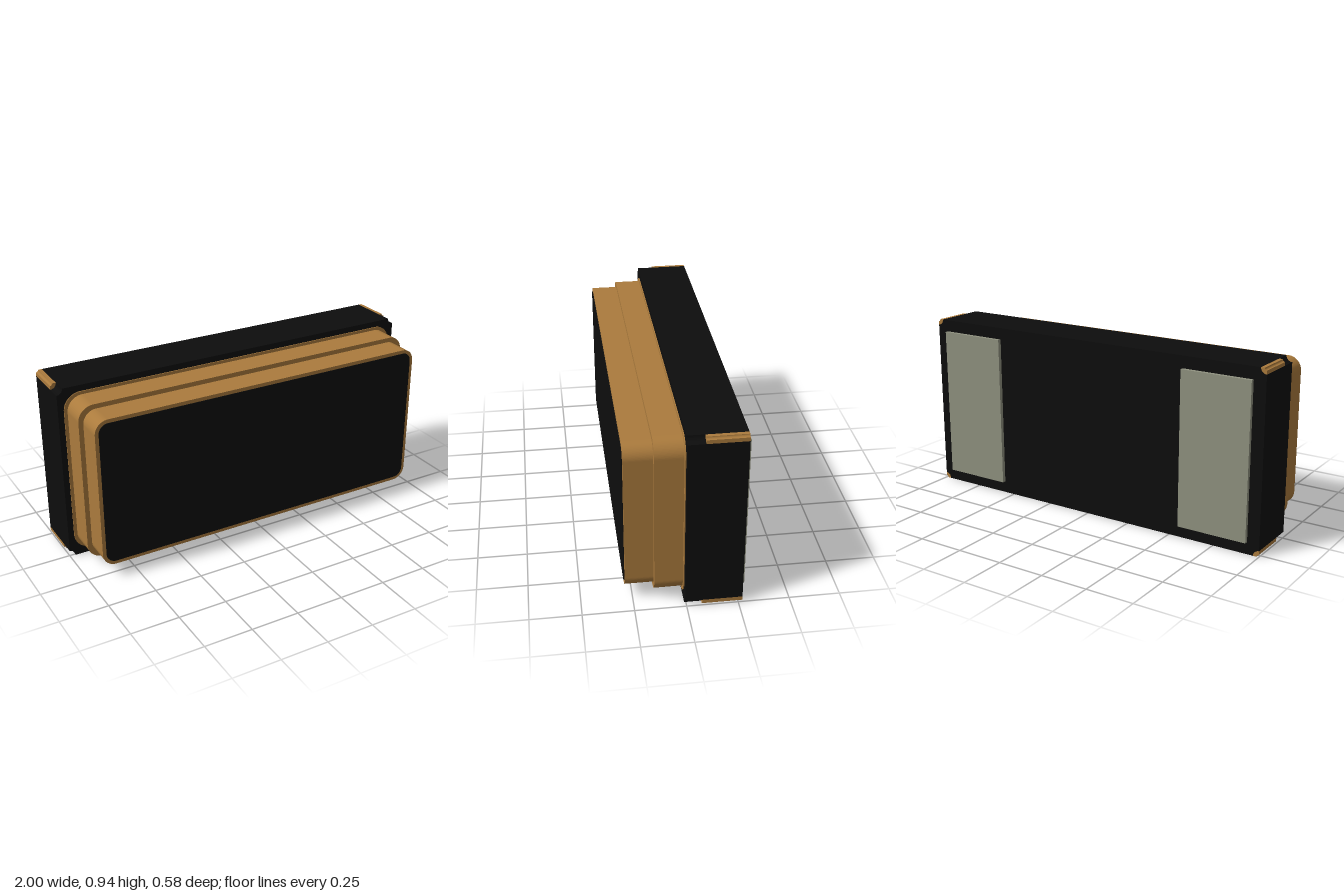
import * as THREE from 'three';

const CY = 0.47; // centre height

const material = (name, color) => {
  const m = new THREE.MeshStandardMaterial({ color });
  m.name = name;
  return m;
};

// Rectangle with rounded corners
function roundedRect(w, h, r) {
  const x = w / 2, y = h / 2, s = new THREE.Shape();
  s.absarc(x - r, y - r, r, 0, Math.PI / 2);
  s.absarc(-x + r, y - r, r, Math.PI / 2, Math.PI);
  s.absarc(-x + r, -y + r, r, Math.PI, Math.PI * 1.5);
  s.absarc(x - r, -y + r, r, Math.PI * 1.5, Math.PI * 2);
  s.closePath();
  return s;
}

// Rectangle with a concave quarter circle cut from each corner
function notchedRect(w, h, r) {
  const x = w / 2, y = h / 2, s = new THREE.Shape();
  s.absarc(x, y, r, Math.PI * 1.5, Math.PI, true);
  s.absarc(-x, y, r, 0, -Math.PI / 2, true);
  s.absarc(-x, -y, r, Math.PI / 2, 0, true);
  s.absarc(x, -y, r, Math.PI, Math.PI / 2, true);
  s.closePath();
  return s;
}

// Lining of one notch, between two arcs around the body corner
function notchLining(outer, inner, a) {
  const s = new THREE.Shape();
  s.absarc(0, 0, outer, a, a + Math.PI / 2);
  s.absarc(0, 0, inner, a + Math.PI / 2, a, true);
  s.closePath();
  return s;
}

export function createModel() {
  const group = new THREE.Group();
  const black = material('black ceramic', 0x0d0d0d);
  const gold = material('gold', 0xab7b3d);
  const pad = material('pad grey', 0x8f917f);

  const addSlab = (name, shape, z0, z1, mat, x = 0, y = CY) => {
    const geo = new THREE.ExtrudeGeometry(shape, { depth: z1 - z0, bevelEnabled: false, curveSegments: 10 });
    const mesh = new THREE.Mesh(geo, mat);
    mesh.name = name;
    mesh.position.set(x, y, z0);
    group.add(mesh);
  };

  // Ceramic body
  addSlab('body', notchedRect(2, 0.936, 0.031), -0.27, 0.008, black);

  // Stepped metal lid with a dark front panel
  addSlab('sealRing', roundedRect(1.94, 0.872, 0.09), 0.008, 0.013, gold);
  addSlab('lowerLid', roundedRect(1.906, 0.84, 0.08), 0.013, 0.15, gold);
  addSlab('upperLid', roundedRect(1.858, 0.792, 0.07), 0.15, 0.288, gold);
  addSlab('frontPanel', roundedRect(1.82, 0.754, 0.05), 0.288, 0.291, black);

  // Gold linings in the corner notches, and contact pads on the back
  for (const sx of [-1, 1]) {
    for (const sy of [-1, 1]) {
      const a = sx > 0 ? (sy > 0 ? Math.PI : Math.PI / 2) : (sy > 0 ? Math.PI * 1.5 : 0);
      addSlab('cornerContact', notchLining(0.031, 0.012, a), -0.27, -0.075, gold, sx, CY + sy * 0.468);
    }
    const contact = new THREE.Mesh(new THREE.BoxGeometry(0.375, 0.81, 0.02), pad);
    contact.name = 'contactPad';
    contact.position.set(sx * 0.7475, CY, -0.28);
    group.add(contact);
  }
  return group;
}
